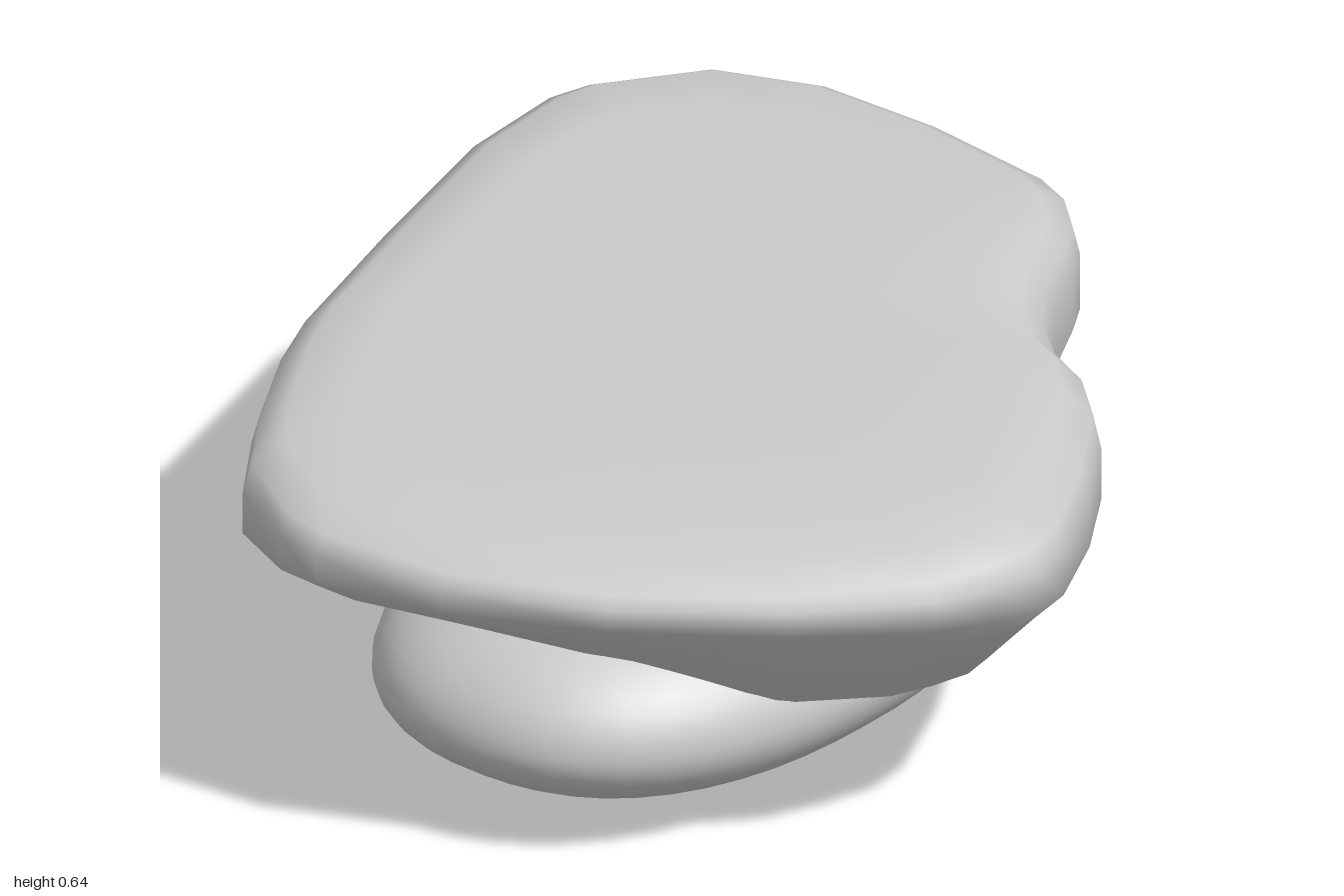
import * as THREE from 'three';

const material = new THREE.MeshStandardMaterial({ color: 0xcccccc, side: THREE.DoubleSide });

// Plan outline of the slab as x, z pairs, from the back round the left side
const OUTLINE = [
  [-0.14, -1], [0.06, -0.965], [0.27, -0.84], [0.48, -0.67], [0.53, -0.6], [0.56, -0.5],
  [0.56, -0.42], [0.55, -0.26], [0.56, -0.14], [0.6, -0.02], [0.66, 0.07], [0.7, 0.2],
  [0.71, 0.4], [0.7, 0.63], [0.67, 0.72], [0.6, 0.8], [0.52, 0.87], [0.28, 0.96],
  [-0.02, 1], [-0.31, 0.955], [-0.54, 0.84], [-0.61, 0.77], [-0.7, 0.6], [-0.715, 0.4],
  [-0.71, 0.2], [-0.69, 0.05], [-0.6, -0.3], [-0.5, -0.65], [-0.4, -0.85], [-0.34, -0.91],
];

// Rings from top to bottom: scale, z shift, height at back, middle and front, front right lift
const RINGS = [
  [0, 0, 0.638, 0.638, 0.638, 0],
  [0.4, 0, 0.638, 0.638, 0.638, 0],
  [0.76, 0, 0.638, 0.638, 0.636, 0],
  [0.91, 0, 0.62, 0.625, 0.62, 0],
  [0.98, 0, 0.585, 0.59, 0.592, 0],
  [1, 0, 0.54, 0.53, 0.575, 0],
  [1, 0, 0.43, 0.43, 0.535, 0],
  [0.91, -0.04, 0.29, 0.34, 0.43, 0.02],
  [0.77, -0.07, 0.18, 0.22, 0.25, 0.13],
  [0.6, -0.08, 0.13, 0.14, 0.21, 0.12],
  [0.3, -0.02, 0.09, 0.065, 0.15, 0.05],
  [0, 0, 0.05, 0.05, 0.05, 0],
];

function slabGeometry() {
  const segments = OUTLINE.length;
  const positions = [];
  const indices = [];
  RINGS.forEach(([scale, shift, back, middle, front, lift], k) => {
    OUTLINE.forEach(([x, z], i) => {
      const end = z < 0 ? back : front;
      const raise = lift * Math.max(0, z) * (1 - THREE.MathUtils.smoothstep(x, -0.35, 0.35));
      positions.push(x * scale, middle + (end - middle) * z * z + raise, z * scale + shift);
      if (k === RINGS.length - 1) return;
      const a = k * segments + i;
      const b = k * segments + (i + 1) % segments;
      const c = a + segments;
      const d = b + segments;
      if (scale > 0) indices.push(a, b, c);
      if (RINGS[k + 1][0] > 0) indices.push(b, d, c);
    });
  });
  const geometry = new THREE.BufferGeometry();
  geometry.setAttribute('position', new THREE.Float32BufferAttribute(positions, 3));
  geometry.setIndex(indices);
  geometry.computeVertexNormals();
  return geometry;
}

// Sphere made squarer in plan, shorter at the back and taller towards the front
function baseGeometry() {
  const geometry = new THREE.SphereGeometry(1, 48, 32);
  const position = geometry.attributes.position;
  for (let i = 0; i < position.count; i++) {
    const x = position.getX(i);
    const y = position.getY(i);
    const z = position.getZ(i);
    const power = 2.3;
    const corner = (Math.abs(x) ** power + Math.abs(z) ** power) ** (1 / power);
    const square = corner > 1e-6 ? Math.hypot(x, z) / corner : 1;
    position.setXYZ(i, x * square, y > 0 ? y * (1 + 0.25 * z) : y, z * square * (z < 0 ? 0.92 : 1));
  }
  geometry.computeVertexNormals();
  return geometry;
}

export function createModel() {
  const model = new THREE.Group();

  // Flat-topped slab with an undercut front
  const slab = new THREE.Mesh(slabGeometry(), material);
  slab.name = 'slab';
  model.add(slab);

  // Rounded base, set diagonally under the slab
  const base = new THREE.Mesh(baseGeometry(), material);
  base.name = 'roundedBase';
  base.scale.set(0.43, 0.21, 0.64);
  base.rotation.y = -0.535;
  base.position.set(0.02, 0.21, 0.25);
  model.add(base);

  return model;
}
